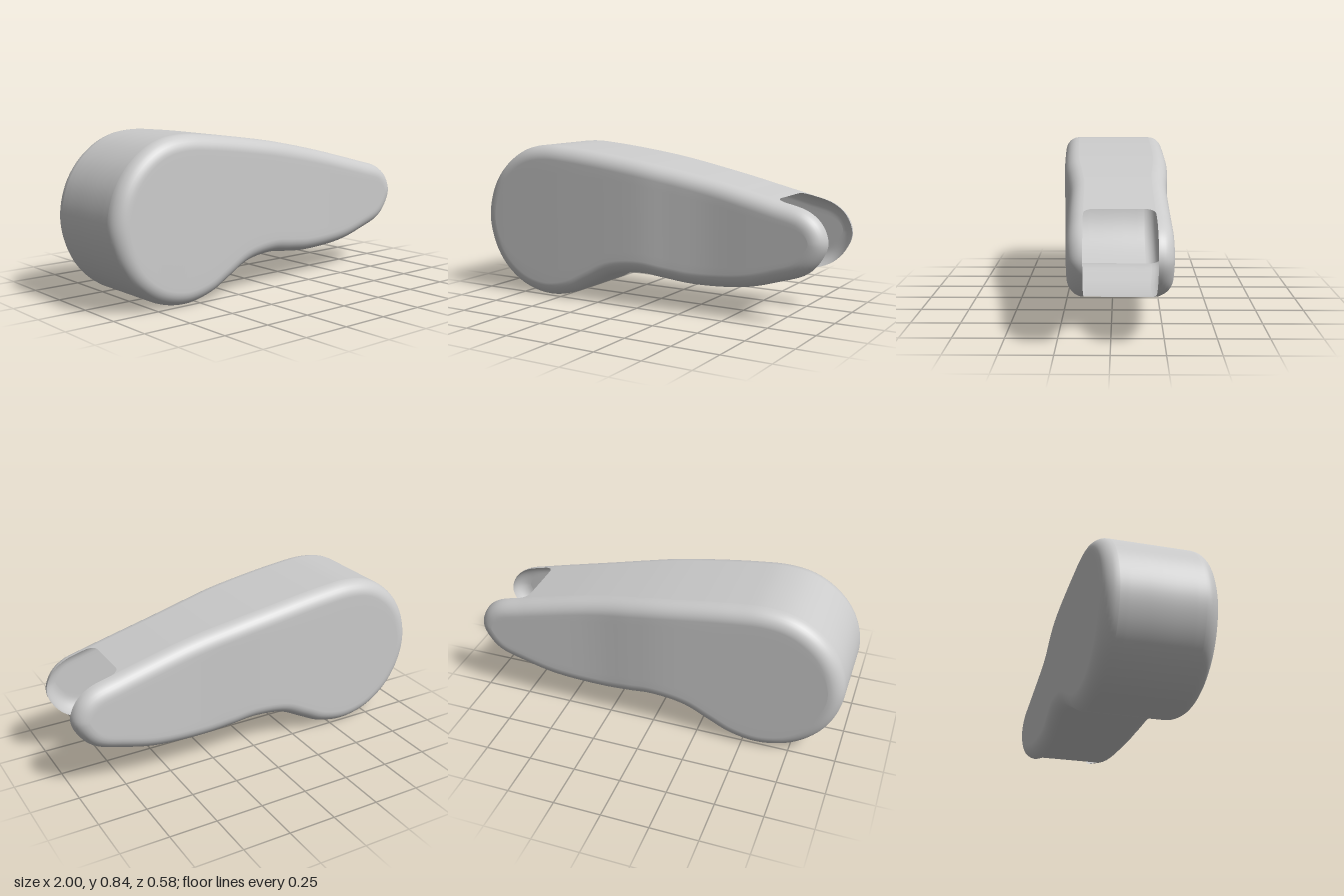
import * as THREE from 'three';
import { mergeGeometries, mergeVertices } from 'three/addons/utils/BufferGeometryUtils.js';

// Side outline: x stations with upper and lower heights, between the two tips
const xs = [-0.97, -0.9, -0.8, -0.7, -0.57, -0.42, -0.3, -0.17, 0, 0.13, 0.27, 0.43, 0.6, 0.75, 0.9, 0.97];
const upper = [0.57, 0.687, 0.773, 0.818, 0.835, 0.825, 0.812, 0.795, 0.77, 0.747, 0.72, 0.686, 0.645, 0.608, 0.565, 0.505];
const lower = [0.27, 0.149, 0.063, 0.018, 0, 0.03, 0.09, 0.155, 0.178, 0.163, 0.147, 0.147, 0.165, 0.205, 0.26, 0.335];
const N = 192;      // samples round the outline
const BEVEL = 0.075;
const FILLET = 0.05;

const V = (x, y) => new THREE.Vector3(x, y, 0);
const outline = new THREE.CatmullRomCurve3([
  V(-1, 0.418),
  ...xs.map((x, i) => V(x, upper[i])),
  V(1, 0.418),
  ...xs.map((x, i) => V(x, lower[i])).reverse(),
], true, 'centripetal');

// Depth of each side along x
const sideCurve = (pts) => {
  const curve = new THREE.SplineCurve(pts.map((p) => new THREE.Vector2(...p)));
  const table = curve.getPoints(80);
  return (x) => {
    let i = 1;
    while (i < table.length - 1 && table[i].x < x) i++;
    const a = table[i - 1], b = table[i];
    return a.y + (b.y - a.y) * THREE.MathUtils.clamp((x - a.x) / (b.x - a.x), 0, 1);
  };
};
const frontZ = sideCurve([[-1, 0.288], [-0.6, 0.28], [-0.3, 0.27], [0, 0.255], [0.2, 0.231], [0.4, 0.211], [0.65, 0.205], [1, 0.196]]);
const backZ = sideCurve([[-1, -0.272], [-0.5, -0.283], [-0.1, -0.293], [0.1, -0.288], [0.3, -0.276], [0.5, -0.276], [1, -0.288]]);

// Point on the outline moved inward by d
function edge(t, d = 0) {
  const u = ((t % 1) + 1) % 1;
  const p = outline.getPoint(u);
  const g = outline.getTangent(u);
  return V(p.x + g.y * d, p.y - g.x * d);
}

// Outline parameter at a given x, between t0 and t1
function findT(x, t0, t1) {
  const rising = edge(t0).x < edge(t1).x;
  for (let i = 0; i < 40; i++) {
    const m = (t0 + t1) / 2;
    if ((edge(m).x < x) === rising) t0 = m; else t1 = m;
  }
  return t0;
}

// Grid surface from a point function, skipping collapsed triangles
function grid(nu, nv, point, flip) {
  const pos = [], index = [];
  for (let i = 0; i <= nu; i++) for (let j = 0; j <= nv; j++) pos.push(point(i, j));
  const tri = (a, b, c) => {
    const area = pos[b].clone().sub(pos[a]).cross(pos[c].clone().sub(pos[a])).length();
    if (area > 1e-9) index.push(...(flip ? [a, c, b] : [a, b, c]));
  };
  for (let i = 0; i < nu; i++) for (let j = 0; j < nv; j++) {
    const a = i * (nv + 1) + j, b = a + nv + 1;
    tri(a, b, a + 1);
    tri(b, b + 1, a + 1);
  }
  const g = new THREE.BufferGeometry().setFromPoints(pos);
  g.setIndex(index);
  return g;
}

// Side face and its rounded edge; s = 1 front, -1 back
function sideParts(depth, s) {
  const bevel = grid(N, 8, (i, j) => {
    const a = (j / 8) * Math.PI / 2;
    const p = edge(i / N, BEVEL * (1 - Math.cos(a)));
    p.z = depth(p.x) - s * BEVEL * (1 - Math.sin(a));
    return p;
  }, s > 0);
  const face = grid(N / 2, 10, (i, j) => {
    const p = edge(i / N, BEVEL).lerp(edge(1 - i / N, BEVEL), j / 10);
    p.z = depth(p.x);
    return p;
  }, s > 0);
  return [bevel, face];
}

// Band joining the sides, cut away at the +x end to leave the open slot
function rimPart() {
  const insets = [0, 0.002, 0.006, 0.014, 0.025, 0.037, FILLET];
  const rows = [
    ...insets.map((d) => [0, d]),
    [0.35, 0], [0.5, 0], [0.65, 0],
    ...insets.map((d) => [1, d]).reverse(),
  ];
  const tLow = findT(0.66, 0.5, 0.8) - 1;
  const tHigh = rows.map(([v, d]) => {
    const k = v === 0 || v === 1 ? (FILLET - d) / FILLET : 0;
    return findT(0.73 + FILLET * (1 - Math.sqrt(1 - k * k)), 0.3, 0.5);
  });
  const first = Math.floor(tLow * N), last = Math.ceil(Math.max(...tHigh) * N);
  return grid(last - first, rows.length - 1, (i, j) => {
    const [v, d] = rows[j];
    const p = edge(THREE.MathUtils.clamp((first + i) / N, tLow, tHigh[j]));
    const zf = frontZ(p.x) - BEVEL, zb = backZ(p.x) + BEVEL;
    p.z = zf + (zb - zf) * v + (v === 0 ? -d : v === 1 ? d : 0);
    return p;
  }, false);
}

export function createModel() {
  const group = new THREE.Group();
  group.name = 'coverShell';
  const merged = mergeGeometries([...sideParts(frontZ, 1), ...sideParts(backZ, -1), rimPart()]);
  const geometry = mergeVertices(merged, 1e-4);
  geometry.computeVertexNormals();
  const shell = new THREE.Mesh(geometry, new THREE.MeshStandardMaterial({ color: 0xcccccc, side: THREE.DoubleSide }));
  shell.name = 'slottedShell';
  group.add(shell);
  return group;
}
